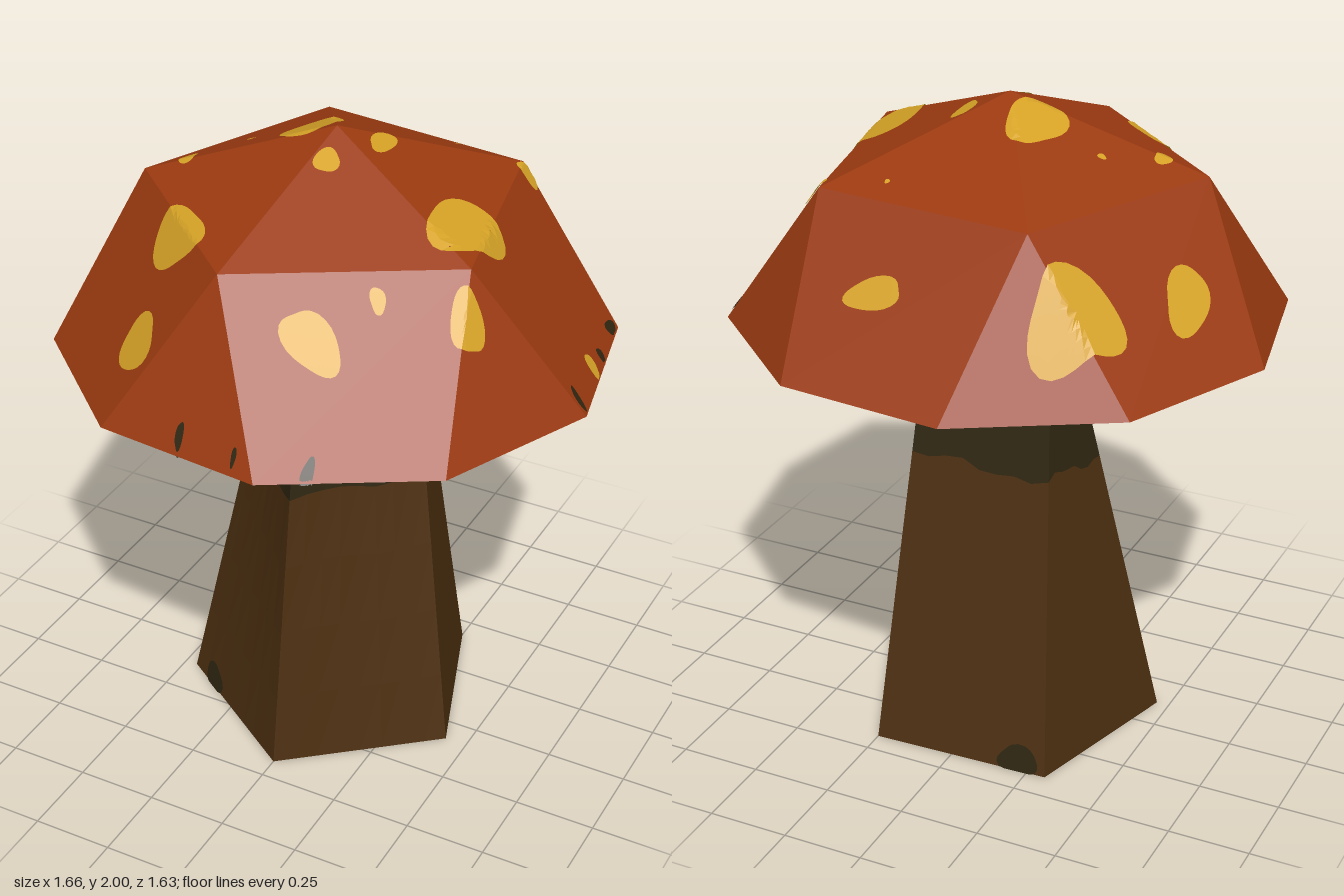
import * as THREE from 'three';

const mat = (name, color) => {
  const m = new THREE.MeshStandardMaterial({ color, side: THREE.DoubleSide, flatShading: true });
  m.name = name;
  return m;
};

function trianglesToGeometry(triangles) {
  const geo = new THREE.BufferGeometry().setFromPoints(triangles.flat());
  geo.computeVertexNormals();
  return geo;
}

// ---- Cap: apex, five-point middle ring, ten-point rim ----
const RIM_Y = 1.327;
const polar = (deg, r, y) => {
  const a = THREE.MathUtils.degToRad(deg);
  return new THREE.Vector3(r * Math.cos(a), y, r * Math.sin(a));
};

function capTriangles() {
  const apex = new THREE.Vector3(0, 2, 0);
  const mid = (k) => polar(24 + 72 * k, 0.58, 1.79);
  const rim = (k, side) => polar(24 + 72 * k + 18 * side, 0.835, RIM_Y);
  const tris = [];
  for (let k = 0; k < 5; k++) {
    tris.push([apex, mid(k + 1), mid(k)]);
    tris.push([mid(k), rim(k, 1), rim(k, -1)]);
    tris.push([mid(k), mid(k + 1), rim(k + 1, -1)]);
    tris.push([mid(k), rim(k + 1, -1), rim(k, 1)]);
  }
  return tris;
}

// The cap is convex, so its height is the lowest of its facet planes
function capHeight(planes, x, z, off) {
  return Math.min(...planes.map(({ normal: n, constant: c }) => (off - c - n.x * x - n.z * z) / n.y));
}

// Blob outline on a disc, wobbling with a seed
const blob = (x, y, seed) => {
  const a = Math.atan2(y, x);
  return 1 + 0.09 * Math.sin(3 * a + seed * 1.7) + 0.06 * Math.sin(2 * a + seed * 2.9);
};

// Thin blob moulded onto the cap
function capSpot(planes, [cx, cz, rx, rz, deg = 0], seed, off) {
  const geo = new THREE.RingGeometry(0, 1, 28, 5);
  const p = geo.attributes.position;
  const t = THREE.MathUtils.degToRad(deg);
  for (let i = 0; i < p.count; i++) {
    const w = blob(p.getX(i), p.getY(i), seed);
    const u = p.getX(i) * rx * w, v = -p.getY(i) * rz * w;
    let x = cx + u * Math.cos(t) - v * Math.sin(t);
    let z = cz + u * Math.sin(t) + v * Math.cos(t);
    while (capHeight(planes, x, z, 0) < RIM_Y) { x *= 0.995; z *= 0.995; }
    p.setXYZ(i, x, capHeight(planes, x, z, off), z);
  }
  geo.computeVertexNormals();
  return geo;
}

// ---- Stem: pentagon foot narrowing to a triangular top ----
const STEM_H = 1.58;
const FOOT = [[0, 0.43], [0.43, 0.08], [0.25, -0.43], [-0.31, -0.41], [-0.46, 0.12]];
const TOP = [[0, 0.21], [0.182, -0.105], [0.182, -0.105], [-0.182, -0.105], [-0.182, -0.105]];

// s runs around the five sides, t from foot to top
function stemPoint(s, t, off = 0) {
  const k = Math.floor(s), f = s - k;
  const along = (ring, axis) =>
    THREE.MathUtils.lerp(ring[k % 5][axis], ring[(k + 1) % 5][axis], f);
  const x = THREE.MathUtils.lerp(along(FOOT, 0), along(TOP, 0), t);
  const z = THREE.MathUtils.lerp(along(FOOT, 1), along(TOP, 1), t);
  const r = Math.hypot(x, z);
  return new THREE.Vector3(x * (1 + off / r), t * STEM_H, z * (1 + off / r));
}

function stemPart(low, high) {
  const tris = [], COLS = 8, ROWS = 4;
  for (let i = 0; i < 5 * COLS; i++) {
    const s0 = i / COLS, s1 = (i + 1) / COLS;
    const at = (s, j) => stemPoint(s, THREE.MathUtils.lerp(low(s), high(s), j / ROWS));
    for (let j = 0; j < ROWS; j++) {
      const a = at(s0, j), b = at(s1, j), c = at(s1, j + 1), d = at(s0, j + 1);
      tris.push([a, b, c], [a, c, d]);
    }
  }
  return trianglesToGeometry(tris);
}

function stemSmudge([s, t, rs, rt], seed, off) {
  const geo = new THREE.RingGeometry(0, 1, 20, 2);
  const p = geo.attributes.position;
  for (let i = 0; i < p.count; i++) {
    const w = blob(p.getX(i), p.getY(i), seed);
    const v = stemPoint(s + p.getX(i) * rs * w, Math.max(0, t + p.getY(i) * rt * w), off);
    p.setXYZ(i, v.x, v.y, v.z);
  }
  geo.computeVertexNormals();
  return geo;
}

export function createModel() {
  const capRed = mat('rust red', 0x9c3a10);
  const yellow = mat('spot yellow', 0xd6a326);
  const brown = mat('stem brown', 0x4c2f10);
  const olive = mat('dark olive', 0x2f2611);

  const model = new THREE.Group();
  model.name = 'mushroom';
  const add = (name, geo, material) => {
    const mesh = new THREE.Mesh(geo, material);
    mesh.name = name;
    model.add(mesh);
  };

  const tris = capTriangles();
  const planes = tris.map((t) => new THREE.Plane().setFromCoplanarPoints(...t));
  add('cap', trianglesToGeometry(tris), capRed);

  // Spots: x, z, half width, half depth, turn; shown on both sides of the thin cap
  const spots = [
    [-0.44, -0.51, 0.14, 0.075, -45], [-0.63, -0.185, 0.05, 0.09, 10],
    [-0.11, -0.065, 0.08, 0.11], [0.115, -0.06, 0.03, 0.065],
    [0.435, 0.075, 0.1, 0.135], [0.03, 0.12, 0.035, 0.042],
    [-0.44, 0.085, 0.025, 0.034], [-0.31, -0.055, 0.012, 0.012],
    [0.125, -0.61, 0.09, 0.027, -4], [0.415, -0.405, 0.03, 0.03],
    [0.195, -0.385, 0.008, 0.008], [-0.295, 0.39, 0.115, 0.065, 42],
    [-0.305, 0.61, 0.08, 0.048, 42], [0.21, 0.55, 0.085, 0.045, -5],
    [0.335, 0.405, 0.023, 0.02], [0.555, 0.31, 0.045, 0.05],
    [0.765, -0.11, 0.025, 0.025],
  ];
  // Small dark flecks along the rim
  const flecks = [
    [0.8, 0.08, 0.025, 0.014], [0.72, -0.36, 0.014, 0.035], [0.295, 0.735, 0.016, 0.03],
    [-0.08, 0.77, 0.012, 0.018], [0.1, 0.79, 0.008, 0.012], [0.755, -0.2, 0.014, 0.018],
  ];
  for (const off of [0.004, -0.004]) {
    const side = off > 0 ? 'outer' : 'inner';
    spots.forEach((s, i) => add(side + 'Spot', capSpot(planes, s, i, off), yellow));
    flecks.forEach((s, i) => add(side + 'RimFleck', capSpot(planes, s, i, off), olive));
  }

  // Stem in two colours with a wavy border
  const border = (s) =>
    0.575 + 0.009 * Math.sin(s * Math.PI * 2) + 0.006 * Math.sin(s * Math.PI * 5.2 + 1) * Math.sin(s * Math.PI / 5);
  add('lowerStem', stemPart(() => 0, border), brown);
  add('upperStem', stemPart(border, () => 1), olive);

  // Dark smudges at the foot
  const smudges = [[4.24, 0.022, 0.1, 0.03], [2.84, 0.022, 0.12, 0.03]];
  for (const off of [0.005, -0.005]) {
    smudges.forEach((s, i) => add('footSmudge', stemSmudge(s, i + 1, off), olive));
  }
  return model;
}
